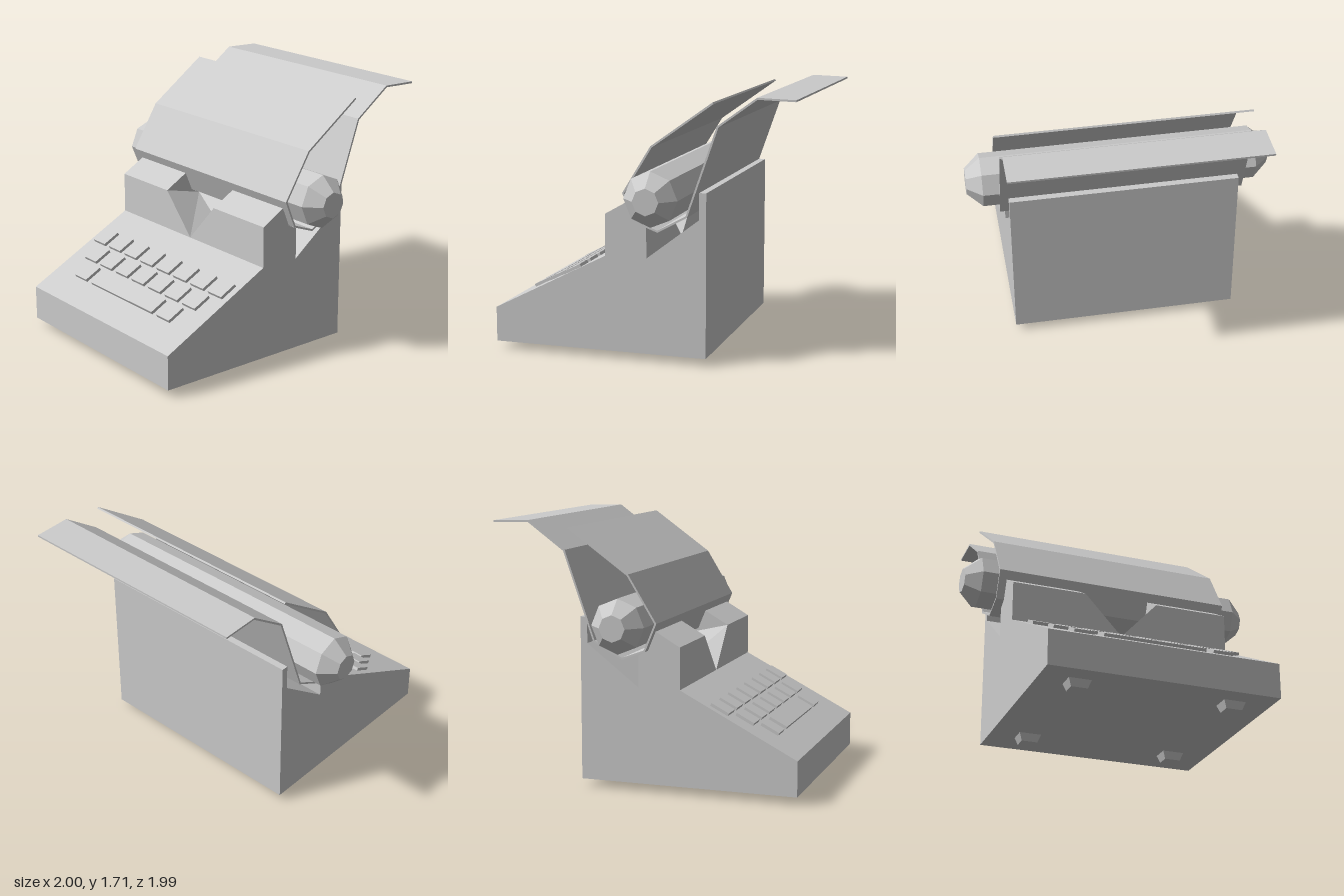
import * as THREE from 'three';

const material = new THREE.MeshStandardMaterial({ color: 0xcccccc, flatShading: true });

// Extrude a side profile of [z, y] points from x0 to x1
function sideExtrude(points, x0, x1) {
  const shape = new THREE.Shape(points.map(([z, y]) => new THREE.Vector2(z, y)));
  const geo = new THREE.ExtrudeGeometry(shape, { depth: x1 - x0, bevelEnabled: false });
  geo.rotateY(-Math.PI / 2);
  geo.translate(x1, 0, 0);
  return geo;
}

// Turn an open polyline into a closed strip of the given thickness
function thicken(points, t) {
  const p = points.map(([z, y]) => new THREE.Vector2(z, y));
  const normal = (a, b) => new THREE.Vector2(a.y - b.y, b.x - a.x).normalize();
  const offsets = p.map((q, i) => {
    const n1 = normal(p[Math.max(i - 1, 0)], p[Math.max(i, 1)]);
    const n2 = normal(p[Math.min(i, p.length - 2)], p[Math.min(i + 1, p.length - 1)]);
    const n = n1.clone().add(n2).normalize();
    return n.multiplyScalar(t / 2 / n.dot(n1));
  });
  const a = p.map((q, i) => [q.x + offsets[i].x, q.y + offsets[i].y]);
  const b = p.map((q, i) => [q.x - offsets[i].x, q.y - offsets[i].y]);
  return [...a, ...b.reverse()];
}

export function createModel() {
  const model = new THREE.Group();
  const add = (name, geo, parent = model) => {
    const mesh = new THREE.Mesh(geo, material);
    mesh.name = name;
    parent.add(mesh);
    return mesh;
  };
  const W = 0.747;

  // Main case: sloped keyboard deck, carriage well and back wall
  add('case', sideExtrude([
    [0.995, 0.05], [0.995, 0.278], [0.235, 0.67], [-0.04, 0.67],
    [-0.385, 0.935], [-0.385, 1.105], [-0.43, 1.105], [-0.43, 0.05],
  ], -W, W));

  // Raised front block, in two halves with a V notch between them
  const front = 0.235, back = -0.04;
  const blockProfile = [[front, 0.67], [front, 0.94], [0.07, 1.035], [0.01, 0.9], [back, 0.875], [back, 0.67]];
  for (const s of [-1, 1]) {
    const side = s > 0 ? 'left' : 'right';
    add(side + 'Block', s > 0 ? sideExtrude(blockProfile, 0.25, W) : sideExtrude(blockProfile, -W, -0.25));
    const tri = new THREE.Shape([
      new THREE.Vector2(0, 0.67), new THREE.Vector2(s * 0.25, 0.67), new THREE.Vector2(s * 0.25, 0.94),
    ]);
    const wedge = new THREE.ExtrudeGeometry(tri, { depth: front - back, bevelEnabled: false });
    wedge.translate(0, 0, back);
    const pos = wedge.attributes.position;
    for (let i = 0; i < pos.count; i++) {
      if (pos.getY(i) > 0.9 && pos.getZ(i) < 0) pos.setY(i, 0.875);
    }
    wedge.computeVertexNormals();
    add(side + 'NotchSlope', wedge);
  }

  // Platen with a tapered knob on each end
  const platen = new THREE.LatheGeometry([
    [0, -1], [0.085, -1], [0.175, -0.9], [0.175, 0.9], [0.085, 1], [0, 1],
  ].map(([r, y]) => new THREE.Vector2(r, y)), 8);
  platen.rotateZ(-Math.PI / 2);
  platen.translate(0, 1.075, -0.118);
  add('platen', platen);

  // Sheet of paper wrapped round the platen
  add('paper', sideExtrude(thicken([
    [-0.485, 1.667], [-0.09, 1.385], [0.093, 1.088], [0.02, 0.913], [-0.13, 0.857],
    [-0.318, 0.96], [-0.515, 1.525], [-0.76, 1.703], [-0.998, 1.696],
  ], 0.012), -0.8, 0.8));

  // Keys lying on the sloped deck
  const keys = new THREE.Group();
  keys.name = 'keyboard';
  model.add(keys);
  const slope = Math.atan2(0.392, 0.76);
  const addKey = (name, x, z, width) => {
    const key = add(name, new THREE.BoxGeometry(width, 0.04, 0.128), keys);
    key.position.set(x, 0.278 + (0.995 - z) * Math.tan(slope), z);
    key.rotation.x = slope;
  };
  const pitch = 0.181;
  for (let i = 0; i < 8; i++) addKey('topRowKey', (i - 3.5) * pitch, 0.475, 0.132);
  for (let i = 0; i < 7; i++) addKey('middleRowKey', (i - 3) * pitch, 0.613, 0.132);
  for (const s of [-1, 1]) addKey('bottomRowKey', s * 2.53 * pitch, 0.752, 0.132);
  addKey('spaceBar', 0.005, 0.752, 0.675);

  // Four tapered feet
  for (const x of [-0.5, 0.5]) {
    for (const z of [0.805, -0.17]) {
      const foot = new THREE.CylinderGeometry(Math.SQRT1_2, Math.SQRT1_2 * 0.74, 0.05, 4, 1);
      foot.rotateY(Math.PI / 4);
      foot.scale(0.143, 1, 0.118);
      add('foot', foot).position.set(x, 0.025, z);
    }
  }
  return model;
}
